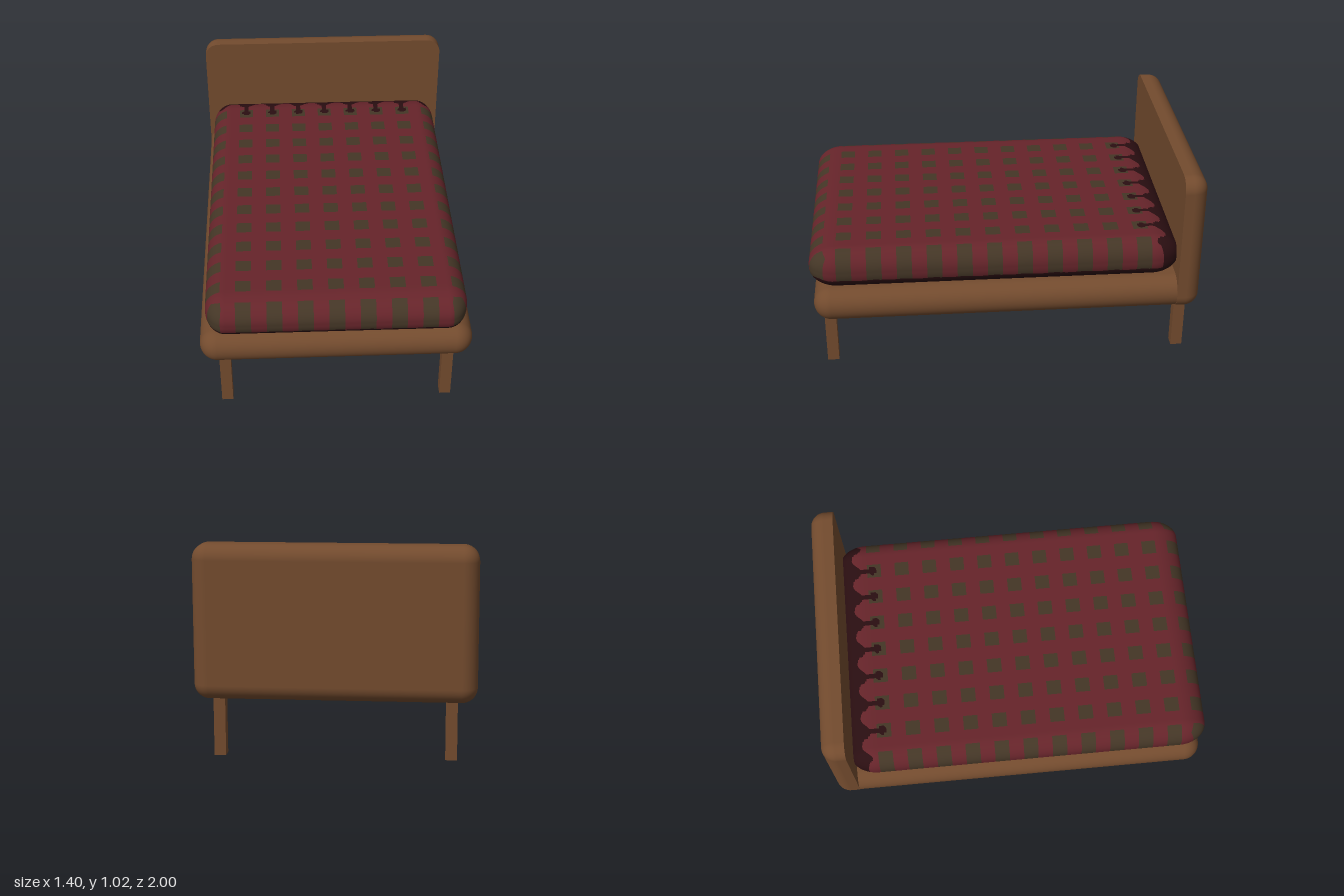
import * as THREE from 'three';
import { RoundedBoxGeometry } from 'three/addons/geometries/RoundedBoxGeometry.js';

const material = (name, color) => {
  const m = new THREE.MeshStandardMaterial({ color });
  m.name = name;
  return m;
};

const CELL = 0.0125; // quilt mesh step, so the checks fall on mesh lines
const STEP = 0.15; // distance between checks
const ROW0 = 0.06; // z of the middle row of checks
const wave = (t) => Math.cos((t / STEP) * Math.PI * 2);
const offset = (t) => t - Math.round(t / STEP) * STEP;

// Scalloped limits of the plaid: behind on top, and below on the sides
const backLimit = (x) => -0.79 + 0.03 * wave(x);
const lowLimit = (x, z) => -0.045 + 0.003 * (wave(x) + wave(z - ROW0));

// 0 red, 1 green check, 2 dark underside
function clothColour(x, y, z) {
  if (y < lowLimit(x, z) || z < backLimit(x)) return 2;
  const dx = offset(x);
  if (Math.abs(x) < 0.53 && y > 0.1) {
    // dark drops hanging from the back edge
    if (Math.hypot(dx, z + 0.7) < 0.023) return 2;
    if (Math.abs(dx) < CELL && z < -0.7) return 2;
  }
  return Math.abs(dx) < 0.0375 && Math.abs(offset(z - ROW0)) < 0.0375 ? 1 : 0;
}

// Soft box whose faces are sorted into the three cloth colours
function mattressGeometry() {
  const nx = 102, nz = 149, ny = 32;
  const half = [nx * CELL / 2, 0.1075, nz * CELL / 2];
  const radius = [0.1, 0.1, 0.14];
  const zMid = ROW0 - CELL / 2;
  const geo = new THREE.BoxGeometry(half[0] * 2, half[1] * 2, half[2] * 2, nx, ny, nz);
  const pos = geo.attributes.position, nor = geo.attributes.normal;

  // pull mesh lines onto the scalloped limits
  for (let i = 0; i < pos.count; i++) {
    const x = pos.getX(i), y = pos.getY(i), z = pos.getZ(i) + zMid;
    if (Math.abs(z - backLimit(x)) < CELL / 2) pos.setZ(i, backLimit(x) - zMid);
    const low = lowLimit(x, z);
    if (Math.abs(y - low) < 0.0033) pos.setY(i, low);
  }

  // sort the triangles by colour
  const src = geo.index.array, lists = [[], [], []];
  for (let i = 0; i < src.length; i += 3) {
    const tri = [src[i], src[i + 1], src[i + 2]];
    const mean = (get) => (pos[get](tri[0]) + pos[get](tri[1]) + pos[get](tri[2])) / 3;
    lists[clothColour(mean('getX'), mean('getY'), mean('getZ') + zMid)].push(...tri);
  }
  geo.clearGroups();
  geo.setIndex([].concat(...lists));
  let start = 0;
  lists.forEach((list, k) => {
    geo.addGroup(start, list.length, k);
    start += list.length;
  });

  // round the edges
  const d = new THREE.Vector3(), n = new THREE.Vector3();
  for (let i = 0; i < pos.count; i++) {
    const inner = [0, 1, 2].map((a) => {
      const p = pos.getComponent(i, a), lim = half[a] - radius[a];
      const c = Math.max(-lim, Math.min(lim, p));
      d.setComponent(a, (p - c) / radius[a]);
      return c;
    });
    d.normalize();
    n.set(d.x / radius[0], d.y / radius[1], d.z / radius[2]).normalize();
    pos.setXYZ(i, inner[0] + d.x * radius[0], inner[1] + d.y * radius[1], inner[2] + d.z * radius[2]);
    nor.setXYZ(i, n.x, n.y, n.z);
  }
  geo.translate(0, 0.5525, zMid);
  return geo;
}

// Board rounded at the back, cut flat at the front
function headboardGeometry() {
  const geo = new RoundedBoxGeometry(1.345, 0.745, 0.24, 6, 0.075);
  const pos = geo.attributes.position, nor = geo.attributes.normal;
  for (let i = 0; i < pos.count; i += 3) {
    const tri = [i, i + 1, i + 2];
    const front = tri.every((v) => pos.getZ(v) > 0);
    for (const v of tri) {
      if (front) nor.setXYZ(v, 0, 0, 1);
      if (pos.getZ(v) > 0) pos.setZ(v, 0);
    }
  }
  return geo;
}

export function createModel() {
  const wood = material('wood', 0x734b2e);
  const red = material('red cloth', 0x66242a);
  const green = material('green check', 0x443626);
  const dark = material('dark cloth', 0x2a0e11);

  const model = new THREE.Group();
  model.name = 'bed';
  const add = (name, geo, mat, x = 0, y = 0, z = 0) => {
    const mesh = new THREE.Mesh(geo, mat);
    mesh.name = name;
    mesh.position.set(x, y, z);
    model.add(mesh);
  };

  // Wooden base and headboard
  add('frame', new RoundedBoxGeometry(1.345, 0.175, 1.95, 6, 0.087), wood, 0, 0.3625, -0.005);
  add('headboard', headboardGeometry(), wood, 0, 0.6495, -0.86);

  // Plaid mattress
  add('mattress', mattressGeometry(), [red, green, dark]);

  // Four square legs
  for (const [end, z] of [['front', 0.895], ['back', -0.897]]) {
    for (const [side, x] of [['Left', 0.552], ['Right', -0.552]]) {
      add(`${end}${side}Leg`, new THREE.BoxGeometry(0.056, 0.31, 0.058), wood, x, 0.155, z);
    }
  }

  // The bed stands slightly turned
  model.rotation.y = 0.03;
  return model;
}
